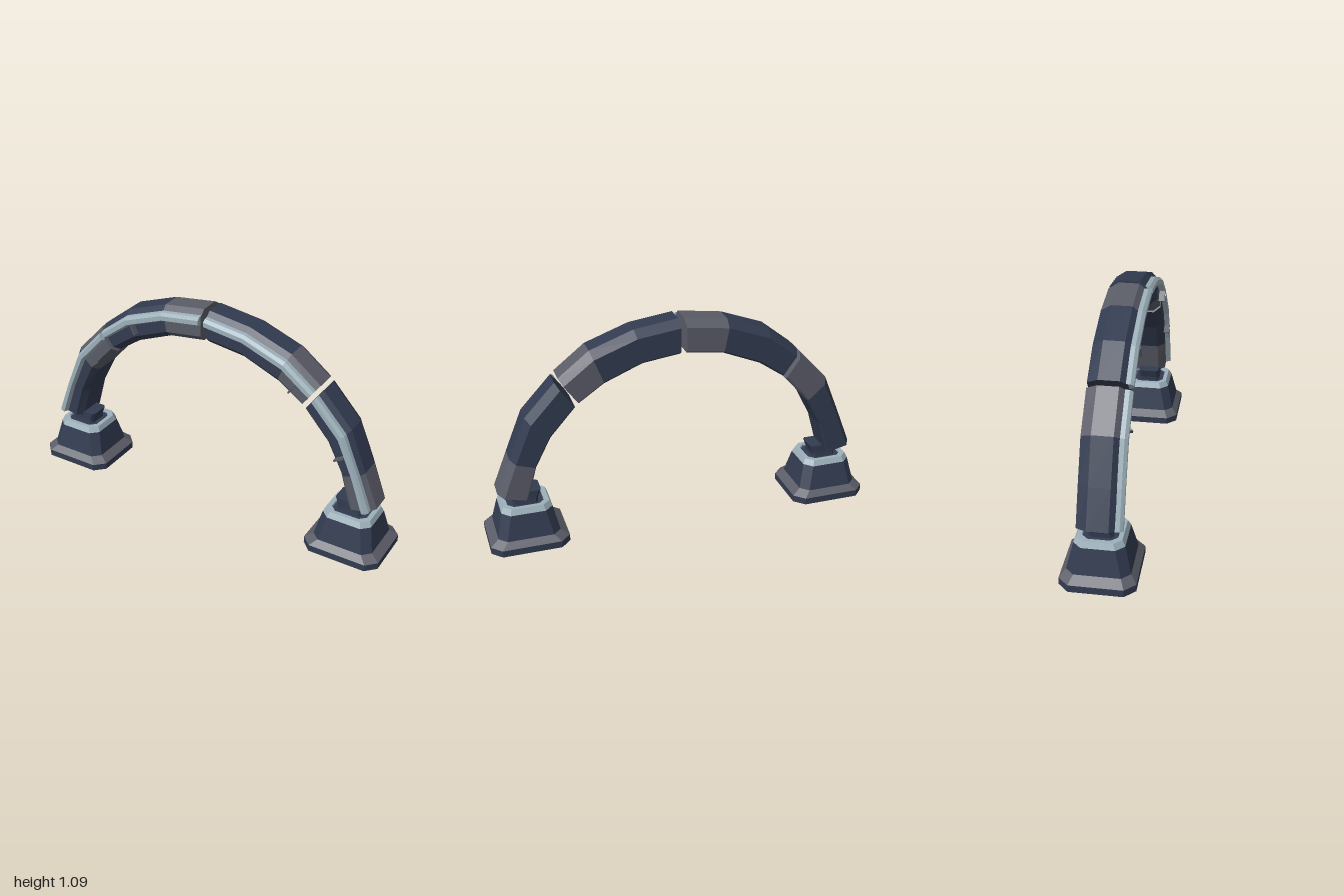
import * as THREE from 'three';

const paint = (name, color) => {
  const m = new THREE.MeshStandardMaterial({ color, flatShading: true });
  m.name = name;
  return m;
};

// Skin a series of equal-length loops; loops run counter-clockwise about the direction of travel
function loft(loops, startCap = true, endCap = true) {
  const pos = [];
  const tri = (...pts) => pts.forEach((p) => pos.push(...p));
  const n = loops[0].length;
  for (let k = 0; k < loops.length - 1; k++) {
    const a = loops[k], b = loops[k + 1];
    for (let i = 0; i < n; i++) {
      const j = (i + 1) % n;
      tri(a[i], a[j], b[j]);
      tri(a[i], b[j], b[i]);
    }
  }
  const first = loops[0], last = loops[loops.length - 1];
  for (let i = 1; i < n - 1; i++) {
    if (startCap) tri(first[0], first[i + 1], first[i]);
    if (endCap) tri(last[0], last[i], last[i + 1]);
  }
  const g = new THREE.BufferGeometry();
  g.setAttribute('position', new THREE.Float32BufferAttribute(pos, 3));
  g.computeVertexNormals();
  return g;
}

// Rectangle with cut corners at height y: half width w, half depth d, cut c
const plate = (y, w, d, c) => [
  [w - c, y, d], [w, y, d - c], [w, y, c - d], [w - c, y, -d],
  [c - w, y, -d], [-w, y, c - d], [-w, y, d - c], [c - w, y, d],
];

// Arch stations on the +x side: outer x, outer y, inner x, inner y
const UPPER = [
  [0.015, 1.09, 0.015, 0.925], [0.235, 1.06, 0.205, 0.9],
  [0.455, 0.98, 0.395, 0.822], [0.61, 0.858, 0.522, 0.735],
];
const LOWER = [
  [0.627, 0.84, 0.54, 0.718], [0.78, 0.675, 0.667, 0.575],
  [0.866, 0.465, 0.745, 0.425], [0.938, 0.285, 0.795, 0.252],
];
const mirror = (stations) => stations.map(([a, b, c, d]) => [-a, b, -c, d]).reverse();

// Cross-sections: fraction from inner to outer edge, z
const BEAM = [[1, -0.05], [1, 0.05], [0.8, 0.085], [0.2, 0.085], [0, 0.05], [0, -0.09], [0.06, -0.1], [0.8, -0.1]];
const TRIM = [[0.87, 0.06], [0.85, 0.095], [0.77, 0.11], [0.63, 0.11], [0.56, 0.084]];

const sweep = (stations, section) => loft(stations.map(([ox, oy, ix, iy]) =>
  section.map(([s, z]) => [ix + (ox - ix) * s, iy + (oy - iy) * s, z])));

export function createModel() {
  const navy = paint('navy', 0x323b50);
  const grey = paint('grey', 0x5a5c67);
  const pale = paint('pale steel', 0x9db0ba);

  const model = new THREE.Group();
  model.name = 'archway';
  const add = (parent, name, geometry, material) => {
    const mesh = new THREE.Mesh(geometry, material);
    mesh.name = name;
    parent.add(mesh);
    return mesh;
  };

  // Four arch segments, left to right, each ending in a grey block
  [mirror(LOWER), mirror(UPPER), UPPER, LOWER].forEach((stations, i) => {
    const segment = new THREE.Group();
    segment.name = `archSegment${i + 1}`;
    add(segment, 'beam', sweep(stations.slice(0, 3), BEAM), navy);
    add(segment, 'endBlock', sweep(stations.slice(2), BEAM), grey);
    add(segment, 'frontTrim', sweep(stations, TRIM), pale);
    model.add(segment);
  });

  // Small ribs standing on the front face
  for (const [x, y] of [[-0.67, 0.65], [-0.395, 0.905], [0.49, 0.835], [0.75, 0.535]]) {
    const rib = add(model, 'rib', new THREE.BoxGeometry(0.055, 0.008, 0.04), grey);
    rib.position.set(x, y, 0.095);
    rib.rotation.z = Math.atan2(y - 0.09, x);
  }

  // Feet
  for (const side of [-1, 1]) {
    const foot = new THREE.Group();
    foot.name = side > 0 ? 'leftFoot' : 'rightFoot';
    foot.position.x = 0.803 * side;
    add(foot, 'plinth', loft([plate(0, 0.197, 0.175, 0.05), plate(0.035, 0.197, 0.175, 0.05)], true, false), navy);
    add(foot, 'plinthSlope', loft([plate(0.035, 0.197, 0.175, 0.05), plate(0.065, 0.155, 0.147, 0.04)], false, false), grey);
    add(foot, 'body', loft([plate(0.065, 0.155, 0.147, 0.04), plate(0.19, 0.127, 0.117, 0.04)], false, false), navy);
    add(foot, 'rim', loft([
      plate(0.19, 0.127, 0.117, 0.04), plate(0.218, 0.115, 0.103, 0.036),
      plate(0.218, 0.092, 0.082, 0.03), plate(0.208, 0.09, 0.08, 0.03),
    ], false, false), pale);
    add(foot, 'recess', loft([plate(0.2, 0.09, 0.08, 0.03), plate(0.208, 0.09, 0.08, 0.03)]), navy);
    add(foot, 'neck', loft([plate(0.205, 0.06, 0.058, 0.012), plate(0.23, 0.062, 0.055, 0.012), plate(0.275, 0.08, 0.055, 0.012)]), navy);
    model.add(foot);
  }
  return model;
}
